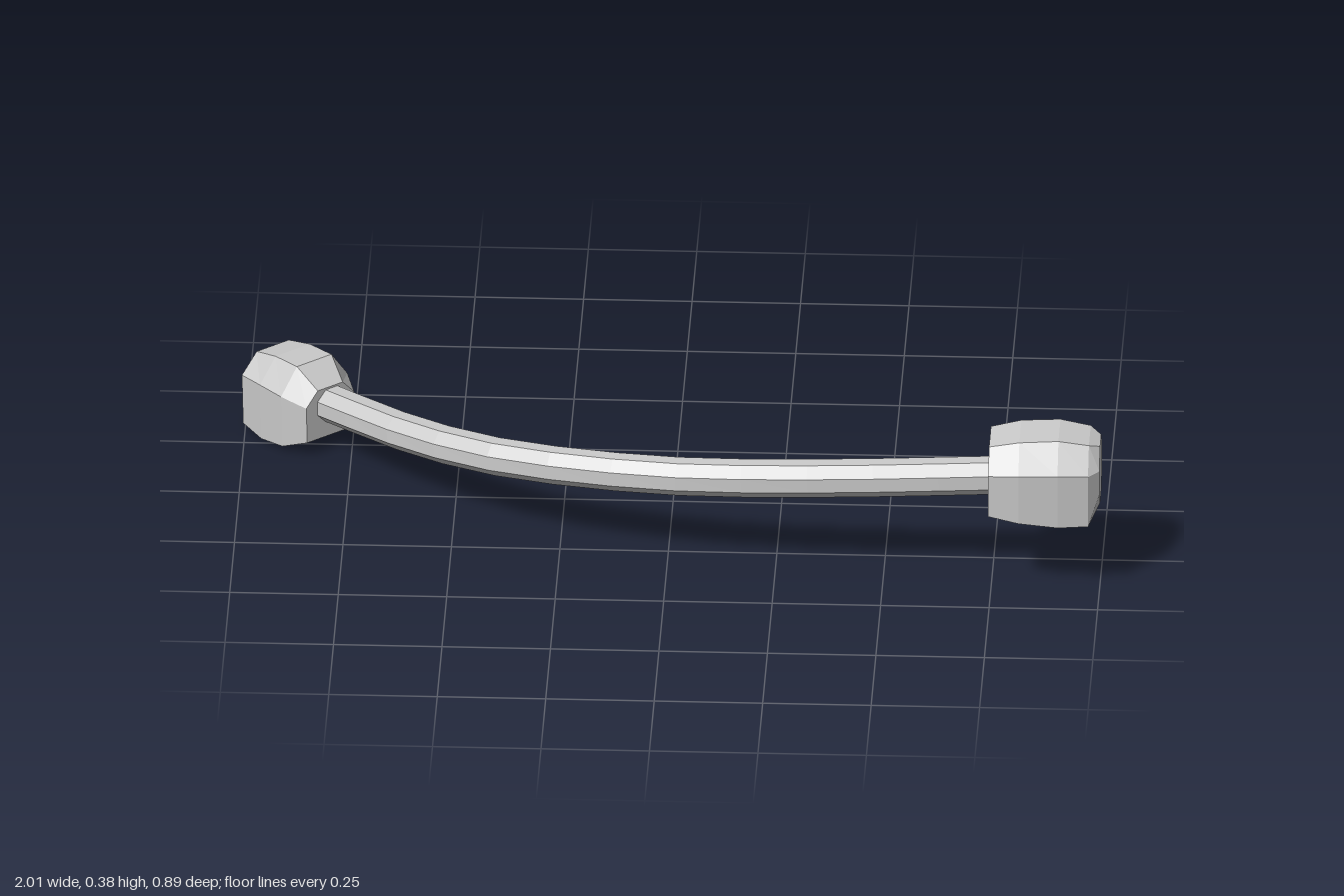
import * as THREE from 'three';

const material = new THREE.MeshStandardMaterial({ color: 0xcccccc, flatShading: true });
const SIDES = 8;

// Skin a list of eight-point rings; rings run counter-clockwise about the travel direction
function loft(rings, name) {
  const positions = rings.flat().flatMap((p) => [p.x, p.y, p.z]);
  const index = [];
  for (let i = 0; i < rings.length - 1; i++) {
    for (let j = 0; j < SIDES; j++) {
      const a = i * SIDES + j;
      const b = i * SIDES + ((j + 1) % SIDES);
      index.push(a, b, b + SIDES, a, b + SIDES, a + SIDES);
    }
  }
  const geometry = new THREE.BufferGeometry();
  geometry.setAttribute('position', new THREE.Float32BufferAttribute(positions, 3));
  geometry.setIndex(index);
  geometry.computeVertexNormals();
  const mesh = new THREE.Mesh(geometry, material);
  mesh.name = name;
  return mesh;
}

// Regular octagon with flat top and sides; r is the distance to a flat
function octagon(r, z, y = 0) {
  const R = r / Math.cos(Math.PI / SIDES);
  return Array.from({ length: SIDES }, (_, j) => {
    const a = ((j - 1.5) / SIDES) * Math.PI * 2;
    return new THREE.Vector3(R * Math.cos(a), y + R * Math.sin(a), z);
  });
}

// Flat-bottomed outline with sloped shoulders
function blockRing([z, w, bottom, top]) {
  const half = [[0.4 * w, bottom], [0.96 * w, bottom], [w, top * 0.35], [0.52 * w, top]];
  const mirrored = half.map(([x, y]) => [-x, y]).reverse();
  return [...half, ...mirrored].map(([x, y]) => new THREE.Vector3(x, y, z));
}

// End block: swelling body, bevelled front frame and an octagonal socket
function endBlock(name, sections, length, faceRadius, faceY) {
  return loft([
    octagon(0.0005, sections[0][0]),
    ...sections.map(blockRing),
    octagon(faceRadius, length, faceY),
    octagon(0.042, length - 0.005, faceY),
    octagon(0.036, length - 0.17, faceY),
    octagon(0.0005, length - 0.17, faceY),
  ], name);
}

// Bent octagonal bar kept upright along its path
function bar() {
  const path = new THREE.CatmullRomCurve3([
    [-0.83, 0.113, -0.265], [-0.6, 0.155, -0.01], [-0.43, 0.182, 0.13], [-0.27, 0.2, 0.212],
    [-0.1, 0.213, 0.268], [0.03, 0.221, 0.297], [0.2, 0.232, 0.32], [0.45, 0.246, 0.334],
    [0.78, 0.263, 0.338],
  ].map((p) => new THREE.Vector3(...p)));
  const steps = 12;
  const up = new THREE.Vector3(0, 1, 0);
  const rings = [];
  for (let i = 0; i <= steps; i++) {
    const centre = path.getPointAt(i / steps);
    const along = path.getTangentAt(i / steps);
    const side = new THREE.Vector3().crossVectors(up, along).normalize();
    const rise = new THREE.Vector3().crossVectors(along, side);
    const frame = new THREE.Matrix4().makeBasis(side, rise, along).setPosition(centre);
    rings.push(octagon(0.041, 0).map((p) => p.applyMatrix4(frame)));
  }
  return loft(rings, 'curvedBar');
}

export function createModel() {
  const model = new THREE.Group();
  model.name = 'curvedBarWithEndBlocks';
  model.add(bar());

  // Sections: distance along block, half width, bottom, top
  const left = endBlock('leftEndBlock', [
    [0, 0.1, -0.078, 0.08],
    [0.07, 0.11, -0.09, 0.095],
    [0.16, 0.108, -0.1, 0.1],
    [0.23, 0.098, -0.1, 0.088],
  ], 0.255, 0.073, 0.003);
  left.position.set(0.745, 0.28, 0.335);
  left.rotation.y = Math.PI / 2;

  const right = endBlock('rightEndBlock', [
    [0, 0.07, -0.07, 0.055],
    [0.06, 0.097, -0.095, 0.098],
    [0.14, 0.096, -0.108, 0.092],
    [0.215, 0.09, -0.1, 0.073],
  ], 0.235, 0.066, -0.012);
  right.position.set(-0.8, 0.11, -0.225);
  right.rotation.y = Math.atan2(-0.65, -0.76);

  model.add(left, right);
  return model;
}
